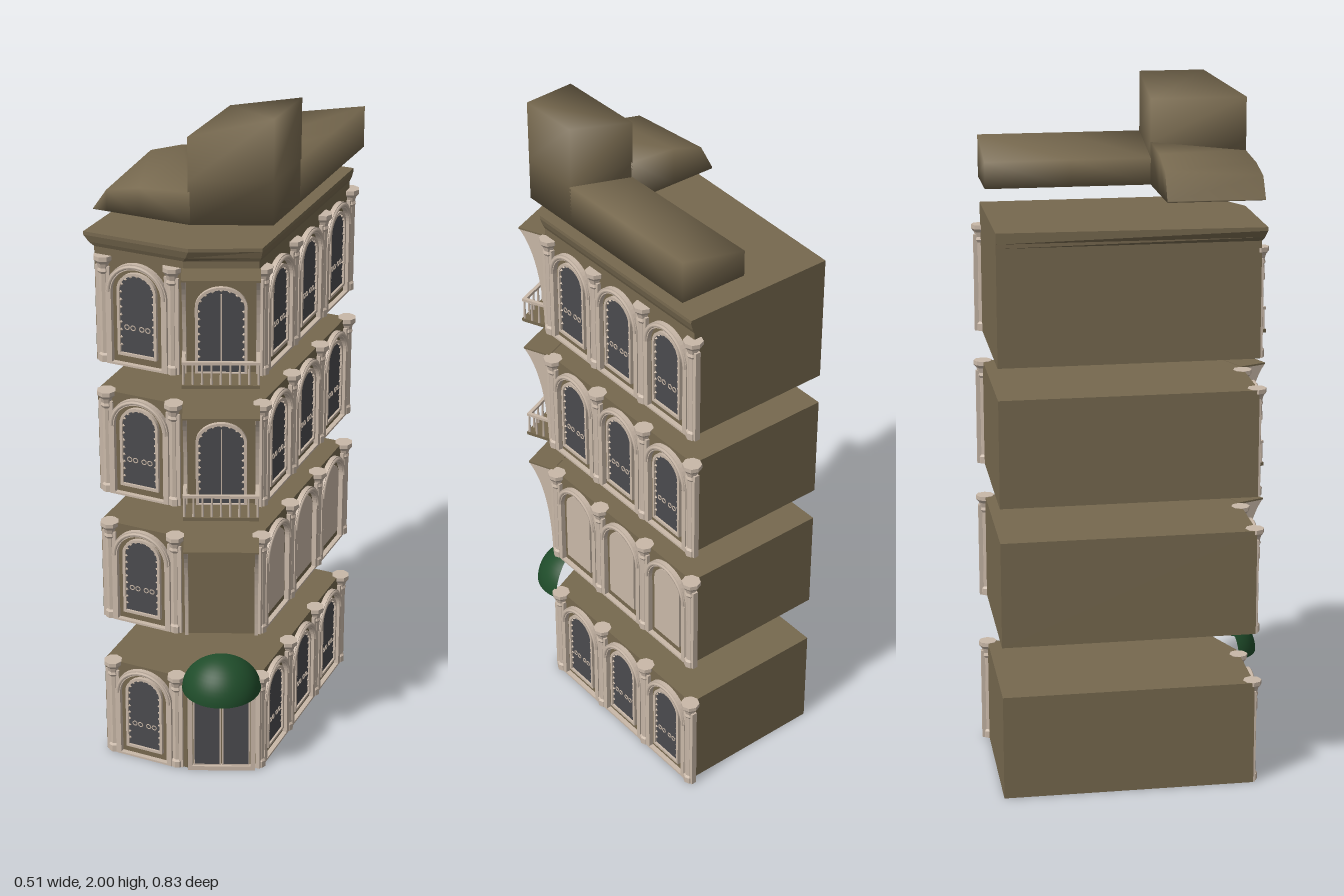
import * as THREE from 'three';

const mat = (name, color, double) => {
  const m = new THREE.MeshStandardMaterial({ color });
  m.name = name;
  if (double) m.side = THREE.DoubleSide;
  return m;
};

export function createModel() {
  const stone = mat('brown stone', 0x77694f);
  const trim = mat('pale trim', 0xc9b8a8);
  const glass = mat('dark glass', 0x4b4b4e);
  const green = mat('green canopy', 0x1f4c2a, true);

  const add = (parent, name, geo, m, x = 0, y = 0, z = 0) => {
    const mesh = new THREE.Mesh(geo, m);
    mesh.name = name;
    mesh.position.set(x, y, z);
    parent.add(mesh);
    return mesh;
  };
  const group = (parent, name, x = 0, y = 0, z = 0, ry = 0) => {
    const g = new THREE.Group();
    g.name = name;
    g.position.set(x, y, z);
    g.rotation.y = ry;
    parent.add(g);
    return g;
  };
  const box = (w, h, d) => new THREE.BoxGeometry(w, h, d);
  const extrude = (shape, depth) =>
    new THREE.ExtrudeGeometry(shape, { depth, bevelEnabled: false, curveSegments: 12 });

  // Round-headed outline and the frame between two such outlines
  const arch = (hw, y0, spring, rise) => {
    const s = new THREE.Shape();
    s.moveTo(-hw, y0);
    s.lineTo(hw, y0);
    s.lineTo(hw, spring);
    s.absellipse(0, spring, hw, rise, 0, Math.PI, false);
    s.closePath();
    return s;
  };
  const archFrame = (hw, y0, spring, rise, t, depth, foot = t) => {
    const s = arch(hw, y0, spring, rise);
    s.holes.push(arch(hw - t, y0 + foot, spring, rise - t));
    return extrude(s, depth);
  };

  // Skin over a row of cross-sections, closed at both ends
  const loft = (sections, flat) => {
    const n = sections[0].length, idx = [], last = (sections.length - 1) * n;
    for (let s = 0; s < sections.length - 1; s++)
      for (let i = 0; i < n; i++) {
        const a = s * n + i, b = s * n + (i + 1) % n;
        idx.push(a, b, b + n, a, b + n, a + n);
      }
    for (let i = 1; i < n - 1; i++) idx.push(0, i + 1, i, last, last + i, last + i + 1);
    let g = new THREE.BufferGeometry();
    g.setAttribute('position', new THREE.Float32BufferAttribute(sections.flat(2), 3));
    g.setIndex(idx);
    if (flat) g = g.toNonIndexed();
    g.computeVertexNormals();
    return g;
  };

  // Column with base and flared capital
  const columnGeo = new THREE.LatheGeometry([
    [0, 0], [0.018, 0], [0.018, 0.02], [0.013, 0.026], [0.013, 0.258], [0.018, 0.266],
    [0.015, 0.274], [0.019, 0.288], [0.027, 0.298], [0.027, 0.31], [0, 0.31],
  ].map(p => new THREE.Vector2(...p)), 8).toNonIndexed();
  columnGeo.computeVertexNormals();
  const column = (parent, x, z, ry) => {
    const g = group(parent, 'column', x, 0, z, ry);
    add(g, 'columnShaft', columnGeo, trim);
    add(g, 'pilaster', box(0.042, 0.28, 0.016), trim, 0, 0.14, 0);
  };

  // Glazed opening with a beaded frame
  const beadGeo = new THREE.OctahedronGeometry(0.005);
  const glazing = (g, hw, y0, spring, rise) => {
    add(g, 'windowFrame', archFrame(hw, y0, spring, rise, 0.008, 0.011), trim);
    add(g, 'windowPane', extrude(arch(hw - 0.004, y0 + 0.004, spring, rise - 0.004), 0.005), glass);
    for (const s of [-1, 1])
      for (let i = 0; i < 8; i++)
        add(g, 'frameBead', beadGeo, trim, s * (hw - 0.01), y0 + 0.03 + i * 0.022, 0.006);
    for (let i = 1; i < 8; i++) {
      const a = i * Math.PI / 8;
      add(g, 'archBead', beadGeo, trim, Math.cos(a) * (hw - 0.01), spring + Math.sin(a) * (rise - 0.01), 0.006);
    }
  };

  // Arched bay: outer moulding with window or blank panel
  const ringGeo = new THREE.TorusGeometry(0.007, 0.0018, 4, 8);
  const bay = (parent, x, z, ry, blank) => {
    const g = group(parent, 'archedBay', x, 0, z, ry);
    add(g, 'archMoulding', archFrame(0.09, 0, 0.212, 0.09, 0.016, 0.014, 0.006), trim);
    add(g, 'archRoll', new THREE.TorusGeometry(0.082, 0.005, 6, 16, Math.PI), trim, 0, 0.212, 0.014);
    if (blank) {
      add(g, 'blankPanel', extrude(arch(0.056, 0.032, 0.222, 0.052), 0.007), trim);
      return;
    }
    glazing(g, 0.058, 0.03, 0.22, 0.055);
    for (const s of [-1, 1])
      for (const k of [0.013, 0.031])
        add(g, 'scroll', ringGeo, trim, s * k, 0.113, 0.006);
  };

  // Bracket fin, curving outward towards the top
  const finShape = new THREE.Shape();
  finShape.moveTo(0, 0);
  finShape.lineTo(0.01, 0);
  finShape.quadraticCurveTo(0.014, 0.23, 0.082, 0.306);
  finShape.lineTo(0, 0.306);
  finShape.closePath();
  const finGeo = extrude(finShape, 0.01);
  finGeo.translate(0, 0, -0.005);
  finGeo.rotateY(-Math.PI / 2);

  const balcony = parent => {
    const g = group(parent, 'balcony');
    add(g, 'balconyFloor', box(0.208, 0.01, 0.084), stone, 0, 0.005, 0.042);
    add(g, 'frontRail', box(0.208, 0.008, 0.01), trim, 0, 0.072, 0.077);
    for (let i = 0; i < 9; i++)
      add(g, 'baluster', new THREE.CylinderGeometry(0.003, 0.004, 0.06, 6), trim, -0.1 + i * 0.025, 0.04, 0.077);
    for (const s of [-1, 1]) {
      add(g, 'sideRail', box(0.01, 0.008, 0.08), trim, s * 0.099, 0.072, 0.04);
      for (const z of [0.03, 0.053])
        add(g, 'baluster', new THREE.CylinderGeometry(0.003, 0.004, 0.06, 6), trim, s * 0.1, 0.04, z);
    }
  };

  const model = new THREE.Group();
  model.name = 'explodedCornerBuilding';

  const plan = [[-0.23, -0.39], [-0.23, 0.335], [0.03, 0.335], [0.215, 0.255], [0.215, -0.39]];
  const level = (points, y) => points.map(([x, z]) => [x, y, z]);

  // Four separate storeys
  [0, 0.46, 0.87, 1.27].forEach((y, n) => {
    const f = group(model, 'storey' + (n + 1), 0, y);
    add(f, 'walls', loft([level(plan, 0), level(plan, 0.309)], true), stone);
    bay(f, -0.103, 0.335, 0, false);
    for (const z of [0.131, -0.077, -0.285]) bay(f, 0.215, z, Math.PI / 2, n === 1);
    for (const x of [-0.205, -0.002]) column(f, x, 0.333, 0);
    for (const z of [0.235, 0.027, -0.181, -0.389]) column(f, 0.218, z, Math.PI / 2);

    // Angled corner facade
    const c = group(f, 'cornerFacade', 0.1225, 0, 0.295, 0.408);
    if (n === 0) {
      add(c, 'doorFrame', archFrame(0.098, 0, 0.24, 0.03, 0.014, 0.014), trim);
      for (const s of [-1, 1]) {
        add(c, 'doorLeafFrame', box(0.08, 0.235, 0.008), trim, s * 0.042, 0.13, 0.004);
        const leaf = new THREE.Shape([
          [-0.036, 0.02], [0.036, 0.02], [0.036, s < 0 ? 0.256 : 0.24], [0, 0.254], [-0.036, s < 0 ? 0.24 : 0.256],
        ].map(p => new THREE.Vector2(...p)));
        add(c, 'doorLeaf', extrude(leaf, 0.01), glass, s * 0.042);
      }
      add(c, 'domeCanopy', new THREE.SphereGeometry(0.113, 28, 12, 0, Math.PI, 0, Math.PI / 2), green, 0, 0.28, 0);
    } else {
      for (const s of [-1, 1]) add(c, 'bracketFin', finGeo, trim, s * 0.098);
      add(c, 'bracketCover', box(0.208, 0.005, 0.084), stone, 0, 0.308, 0.041);
    }
    if (n > 1) {
      glazing(c, 0.07, 0.005, 0.2, 0.06);
      add(c, 'doorMeeting', box(0.003, 0.23, 0.008), trim, 0, 0.125, 0.004);
      balcony(c);
    }
  });

  // Flared cornice over the top storey
  const flared = [[-0.256, -0.0], [-0.256, 0.346], [0.05, 0.346], [0.226, 0.262], [0.226, -0.39]];
  flared[0] = [-0.23, -0.39];
  const mid = plan.map(([x, z], i) => [(x + flared[i][0]) / 2, (z + flared[i][1]) / 2]);
  add(model, 'cornice', loft([
    level(plan, 1.579), level(plan, 1.6), level(mid, 1.612), level(flared, 1.632), level(flared, 1.642),
  ], true), stone);

  // Floating roof: front wing, back wing and corner tower
  const roof = group(model, 'roof');
  const base = 1.71;
  add(roof, 'frontWing', loft([[-0.225, 1.712, 1.714], [-0.185, 1.77, 1.79], [-0.09, 1.79, 1.82], [0.055, 1.8, 1.83]]
    .map(([x, yf, yb]) => [[x, base, 0.345], [x, base, 0.075], [x, yb, 0.075], [x, yf, 0.345]])), stone);
  add(roof, 'backWing', loft([0.08, -0.15, -0.39]
    .map(z => [[0.255, base, z], [0.052, base, z], [0.052, 1.785, z], [0.255, 1.83, z]])), stone);
  const tower = (...ys) =>
    [[0.05, 0.075], [0.05, 0.345], [0.255, 0.26], [0.255, 0.075]].map(([x, z], i) => [x, ys[i], z]);
  add(roof, 'cornerTower', loft([
    tower(base, base, base, base), tower(1.83, 1.83, 1.83, 1.83), tower(1.95, 1.95, 2, 2),
  ]), stone);

  return model;
}
